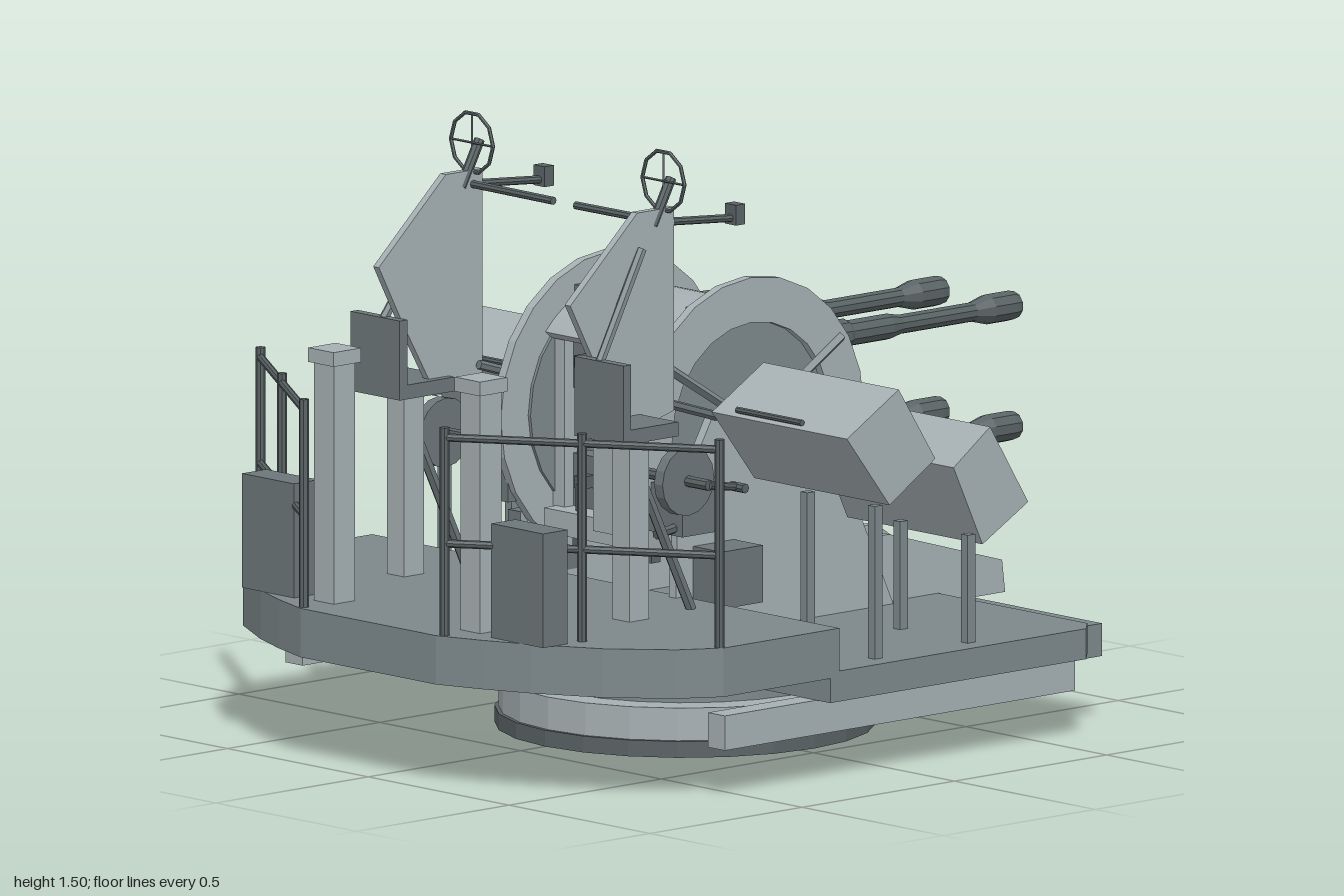
import * as THREE from 'three';

// Paint tones, with the parts that wear each; everything else is light
const paint = color => new THREE.MeshStandardMaterial({ color, flatShading: true, side: THREE.DoubleSide });
const light = paint(0xa6b0b3);
const tones = [
  [paint(0x7d888b), 'turntable rearDeck frontDeck rearStep drumSide ammoPost drumSpoke shieldBrace gunMount'],
  [paint(0x6c7679), 'locker seat seatBack gearbox footRest handwheel receiver receiverCover hoodPad hoodRearLip seatStrut linkRod'],
  [paint(0x5a6365), 'baseFlange barrel railPost railBar sightStem sightRing sightCrosshair sightArm eyepieceArm eyepiece '
    + 'handwheelShaft crank crankGrip pedalRod spadeGrip gripBracket crossBar cradleLug ammoBoxHandle'],
].map(([mat, names]) => [mat, names.split(' ')]);
const materialFor = name => (tones.find(([, names]) => names.includes(name)) ?? [light])[0];

export function createModel() {
  const model = new THREE.Group();
  const add = (name, geo) => {
    const m = new THREE.Mesh(geo, materialFor(name));
    m.name = name;
    model.add(m);
    return m;
  };
  // Box from min/max ranges
  const box = (name, x0, x1, y0, y1, z0, z1) => add(name,
    new THREE.BoxGeometry(Math.abs(x1 - x0), y1 - y0, Math.abs(z1 - z0))
      .translate((x0 + x1) / 2, (y0 + y1) / 2, (z0 + z1) / 2));
  const rod = (name, a, b, r = 0.01, sides = 8) => {
    const p = new THREE.Vector3(...a), q = new THREE.Vector3(...b);
    const m = add(name, new THREE.CylinderGeometry(r, r, p.distanceTo(q), sides));
    m.position.copy(p).lerp(q, 0.5);
    m.quaternion.setFromUnitVectors(new THREE.Vector3(0, 1, 0), q.sub(p).normalize());
  };
  const toShape = pts => new THREE.Shape(pts.map(p => new THREE.Vector2(...p)));
  // Plate drawn in (z, y), thick along x
  const plate = (name, shape, x, t) => add(name,
    new THREE.ExtrudeGeometry(shape, { depth: t, bevelEnabled: false, curveSegments: 12 })
      .rotateY(-Math.PI / 2).translate(x + t / 2, 0, 0));
  // Slab drawn in (x, z), thick along y
  const slab = (name, pts, y0, y1) => add(name,
    new THREE.ExtrudeGeometry(toShape(pts), { depth: y1 - y0, bevelEnabled: false })
      .rotateX(Math.PI / 2).translate(0, y1, 0));
  const disc = (name, r, y0, y1) => add(name,
    new THREE.CylinderGeometry(r, r, y1 - y0, 24).translate(0, (y0 + y1) / 2, -0.04));

  // Turntable and decks
  disc('baseFlange', 0.46, 0, 0.04);
  disc('baseRing', 0.45, 0.04, 0.12);
  disc('turntable', 0.38, 0.12, 0.21);
  slab('rearDeck', [[-0.83, 0.25], [-0.83, -0.59], [-0.78, -0.64], [0.78, -0.64], [0.83, -0.59], [0.83, 0.25]], 0.2, 0.275);
  const edge = [[0.83, 0.22], [0.83, 0.6], [0.77, 0.7], [0.64, 0.82], [0.48, 0.91], [0.36, 0.96], [0.24, 1]];
  slab('frontDeck', [...edge, ...edge.map(([x, z]) => [-x, z]).reverse()], 0.26, 0.38);
  box('rearStep', -0.67, 0.67, 0.16, 0.24, -0.79, -0.56);
  box('tailPlate', -0.23, 0.23, 0.235, 0.285, -0.77, -0.3);

  // Drum hood between the cheeks
  const cz = -0.02, cy = 0.76;
  const hood = new THREE.Shape();
  hood.absarc(cz, cy, 0.3, 0.72, 2.3, false);
  hood.absarc(cz, cy, 0.275, 2.3, 0.72, true);
  plate('drumHood', hood, 0, 0.46);
  box('hoodRearLip', -0.2, 0.2, 0.96, 1.0, -0.3, -0.2);
  box('frontCradlePlate', -0.22, 0.22, 0.47, 0.53, -0.2, 0.22);
  box('frontMast', -0.035, 0.035, 0.5, 1.0, 0.19, 0.23);
  box('rearMast', -0.035, 0.035, 0.5, 1.0, -0.3, -0.26);
  box('crossBar', -0.22, 0.22, 0.715, 0.82, -0.1, 0.05);

  // Barrel profile: jacket, tube, flared muzzle
  const profile = [[0, 0.1], [0.03, 0.1], [0.03, 0.4], [0.038, 0.4], [0.038, 0.44], [0.032, 0.45], [0.032, 0.58],
    [0.024, 0.62], [0.024, 0.86], [0.037, 0.91], [0.037, 0.98], [0.033, 1], [0.02, 1], [0.02, 0.95], [0, 0.95]]
    .map(p => new THREE.Vector2(...p));

  for (const s of [1, -1]) {
    const X = v => v * s;
    const sbox = (n, x0, x1, ...r) => box(n, X(x0), X(x1), ...r);
    const srod = (n, a, b, r, k) => rod(n, [X(a[0]), a[1], a[2]], [X(b[0]), b[1], b[2]], r, k);
    const splate = (n, pts, x, t) => plate(n, Array.isArray(pts) ? toShape(pts) : pts, X(x), t);

    // Guns
    for (const y of [0.92, 0.625]) {
      add('barrel', new THREE.LatheGeometry(profile, 10).rotateX(-Math.PI / 2).translate(X(0.13), y, 0));
      sbox('receiver', 0.06, 0.19, y - 0.1, y + 0.035, -0.28, 0.15);
      sbox('receiverCover', 0.085, 0.165, y + 0.035, y + 0.055, -0.18, 0.1);
      sbox('gunMount', 0.16, 0.23, y - 0.1, y + 0.06, -0.27, 0.1);
      srod('spadeGrip', [0.13, y - 0.13, 0.18], [0.13, y - 0.03, 0.18], 0.014);
      sbox('gripBracket', 0.115, 0.145, y - 0.04, y - 0.01, 0.14, 0.19);
    }
    sbox('cradleWall', 0.19, 0.23, 0.5, 0.98, 0.12, 0.18);
    sbox('cradleWall', 0.19, 0.23, 0.5, 0.98, -0.28, -0.22);
    sbox('cradleLug', 0.12, 0.14, 0.44, 0.48, 0.17, 0.2);

    // Cheek: arched ring, recessed drum side, stand
    const ring = new THREE.Shape().absarc(cz, cy, 0.37, 0, Math.PI * 2, false);
    ring.holes.push(new THREE.Path().absarc(cz, cy, 0.26, 0, Math.PI * 2, true));
    splate('cheekRing', ring, 0.245, 0.025);
    splate('drumSide', new THREE.Shape().absarc(cz, cy, 0.28, 0, Math.PI * 2, false), 0.23, 0.012);
    splate('cheekStand', [[0.25, 0.27], [0.24, 0.6], [0.19, 0.7], [0.12, 0.82], [-0.18, 0.82], [-0.25, 0.74], [-0.47, 0.27]], 0.265, 0.025);
    for (const d of [1, -1])
      srod('drumSpoke', [0.265, 0.95, cz + d * 0.29], [0.265, 0.82, cz + d * 0.08], 0.012, 4);
    // Sight slot pad, lying along the top of the hood
    sbox('hoodPad', 0.165, 0.23, 1.03, 1.062, -0.09, 0.11);

    // Rear fins: tall outer pair, short bent inner pair
    splate('outerFin', [[-0.3, 0.25], [-0.38, 0.44], [-0.48, 0.44], [-0.85, 0.33], [-0.86, 0.25]], 0.24, 0.02);
    splate('innerFin', [[-0.56, 0.27], [-0.58, 0.42], [-0.62, 0.42], [-0.8, 0.3], [-0.82, 0.24], [-0.79, 0.24], [-0.63, 0.36], [-0.61, 0.27]], 0.04, 0.02);
    sbox('sideSkid', 0.72, 0.78, 0.115, 0.2, -0.6, 0.55);

    // Ammunition boxes on posts, each with a handle
    splate('frontAmmoBox', [[0.14, 0.825], [-0.03, 0.925], [-0.15, 0.74], [0, 0.645]], 0.53, 0.48);
    splate('rearAmmoBox', [[-0.21, 0.71], [-0.33, 0.795], [-0.455, 0.595], [-0.305, 0.51]], 0.53, 0.48);
    srod('ammoBoxHandle', [0.37, 0.84, 0.13], [0.6, 0.84, 0.13], 0.008);
    srod('ammoBoxHandle', [0.37, 0.71, -0.195], [0.6, 0.71, -0.195], 0.008);
    for (const x of [0.525, 0.765]) {
      sbox('ammoPost', x - 0.012, x + 0.012, 0.27, 0.65, 0.03, 0.055);
      sbox('ammoPost', x - 0.012, x + 0.012, 0.27, 0.54, -0.275, -0.25);
    }
    sbox('ammoArm', 0.26, 0.32, 0.76, 0.8, -0.05, 0.02);
    sbox('ammoArm', 0.26, 0.32, 0.63, 0.67, -0.35, -0.28);

    // Guard rail
    const a = [0.815, 0.6], b = [0.25, 0.98];
    for (const t of [0, 0.5, 1]) {
      const x = a[0] + (b[0] - a[0]) * t, z = a[1] + (b[1] - a[1]) * t;
      srod('railPost', [x, 0.38, z], [x, 0.89, z], 0.012);
    }
    for (const y of [0.605, 0.865]) srod('railBar', [a[0], y, a[1]], [b[0], y, b[1]], 0.01);

    // Column and locker
    sbox('column', 0.225, 0.295, 0.38, 0.965, 0.835, 0.905);
    sbox('columnCap', 0.215, 0.305, 0.965, 1.0, 0.825, 0.915);
    sbox('locker', 0.35, 0.535, 0.38, 0.66, 0.84, 0.92);

    // Operator seat
    sbox('seatPost', 0.37, 0.43, 0.38, 0.83, 0.475, 0.54);
    sbox('seat', 0.31, 0.485, 0.83, 0.865, 0.43, 0.6);
    sbox('seatBack', 0.31, 0.485, 0.83, 1.025, 0.585, 0.61);
    srod('seatStrut', [0.4, 0.73, 0.48], [0.4, 0.38, 0.31], 0.014, 6);

    // Shield with sights
    splate('shield', [[0.66, 1.16], [0.44, 1.36], [0.32, 1.36], [0.32, 0.86], [0.47, 0.82], [0.58, 1.01]], 0.34, 0.02);
    srod('shieldBrace', [0.385, 1.01, 0.6], [0.355, 1.27, 0.43], 0.012, 6);
    srod('sightStem', [0.34, 1.32, 0.38], [0.34, 1.43, 0.32], 0.013);
    add('sightRing', new THREE.TorusGeometry(0.075, 0.005, 6, 10).translate(X(0.34), 1.425, 0.345));
    srod('sightCrosshair', [0.265, 1.425, 0.345], [0.415, 1.425, 0.345], 0.003, 4);
    srod('sightCrosshair', [0.34, 1.35, 0.345], [0.34, 1.5, 0.345], 0.003, 4);
    srod('sightArm', [0.34, 1.325, 0.35], [0.04, 1.325, 0.355], 0.01);
    srod('eyepieceArm', [0.34, 1.325, 0.35], [0.34, 1.305, 0.11], 0.01);
    sbox('eyepiece', 0.32, 0.36, 1.29, 1.34, 0.095, 0.125);

    // Handwheel, crank and gearbox
    add('handwheel', new THREE.CylinderGeometry(0.085, 0.085, 0.03, 16).rotateZ(Math.PI / 2).translate(X(0.43), 0.705, 0.36));
    srod('handwheelShaft', [0.26, 0.705, 0.36], [0.52, 0.705, 0.36], 0.014);
    srod('crank', [0.52, 0.705, 0.36], [0.52, 0.69, 0.27], 0.01);
    srod('crankGrip', [0.5, 0.69, 0.27], [0.55, 0.69, 0.27], 0.012);
    sbox('gearbox', 0.25, 0.37, 0.55, 0.67, 0.2, 0.31);
    srod('pedalRod', [0.34, 0.56, 0.37], [0.34, 0.58, 0.22], 0.012, 6);
    srod('linkRod', [0.31, 0.885, 0.35], [0.27, 0.8, 0.08], 0.012, 6);
    sbox('footRest', 0.25, 0.38, 0.36, 0.5, 0.055, 0.19);
  }
  return model;
}
